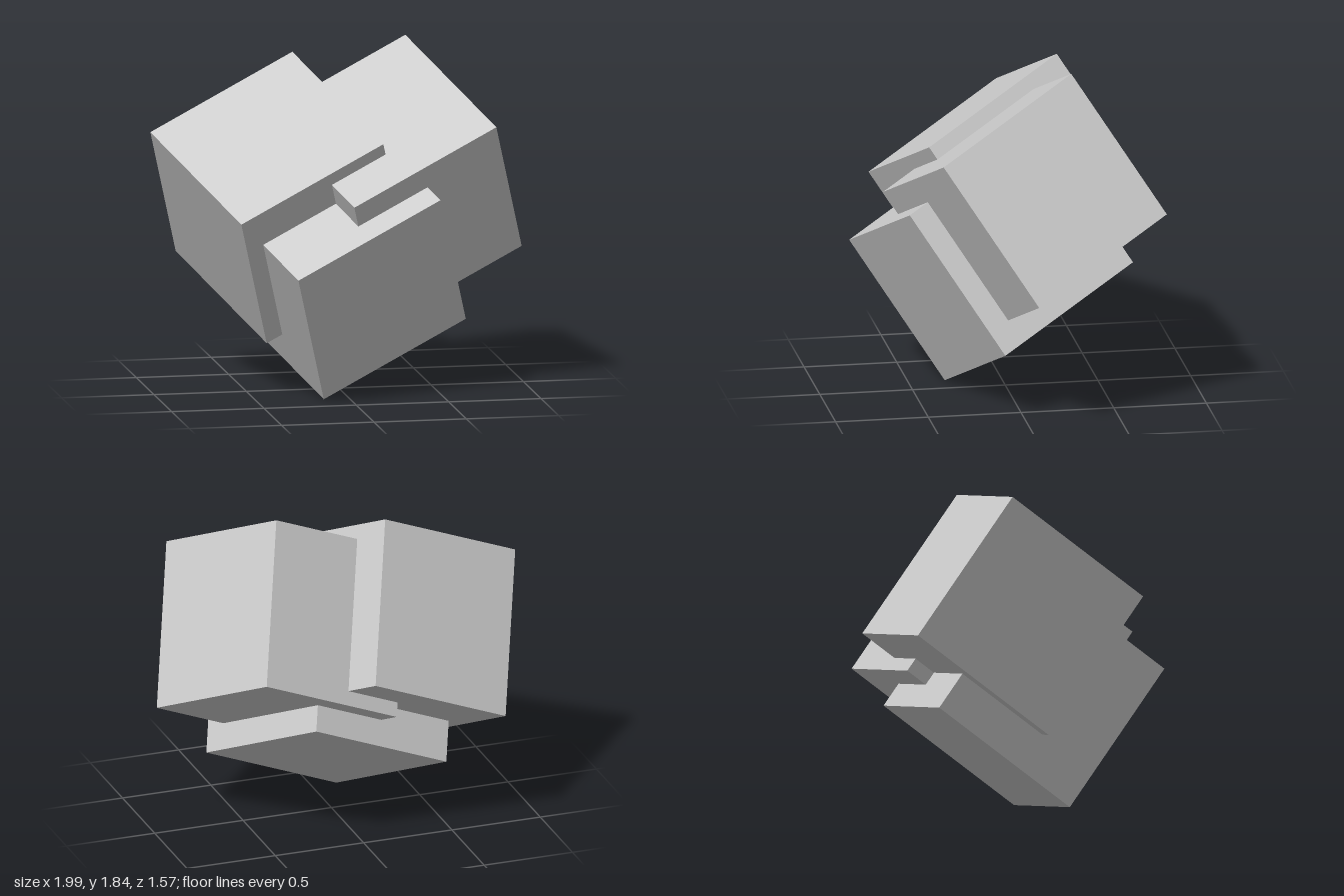
import * as THREE from 'three';

export function createModel() {
  const model = new THREE.Group();
  model.name = 'interlockedCubes';

  // Shared tilt of all cubes, built from two edge directions
  const u = new THREE.Vector3(0.805, 0.372, -0.19).normalize();
  const w = new THREE.Vector3().crossVectors(u, new THREE.Vector3(0.355, -0.375, 0.75)).normalize();
  const v = new THREE.Vector3().crossVectors(w, u);
  const tilt = new THREE.Quaternion().setFromRotationMatrix(new THREE.Matrix4().makeBasis(u, v, w));

  const geometry = new THREE.BoxGeometry(0.907, 0.907, 0.907);
  const material = new THREE.MeshStandardMaterial({ color: 0xcccccc, flatShading: true });

  // Three equal cubes pushed into one another
  const cubes = [
    ['rightCube', -0.305, 1.035, -0.08],
    ['leftCube', 0.302, 1.11, -0.055],
    ['lowerFrontCube', -0.025, 0.75, 0.072],
  ];
  for (const [name, x, y, z] of cubes) {
    const cube = new THREE.Mesh(geometry, material);
    cube.name = name;
    cube.position.set(x, y, z);
    cube.quaternion.copy(tilt);
    model.add(cube);
  }
  return model;
}
